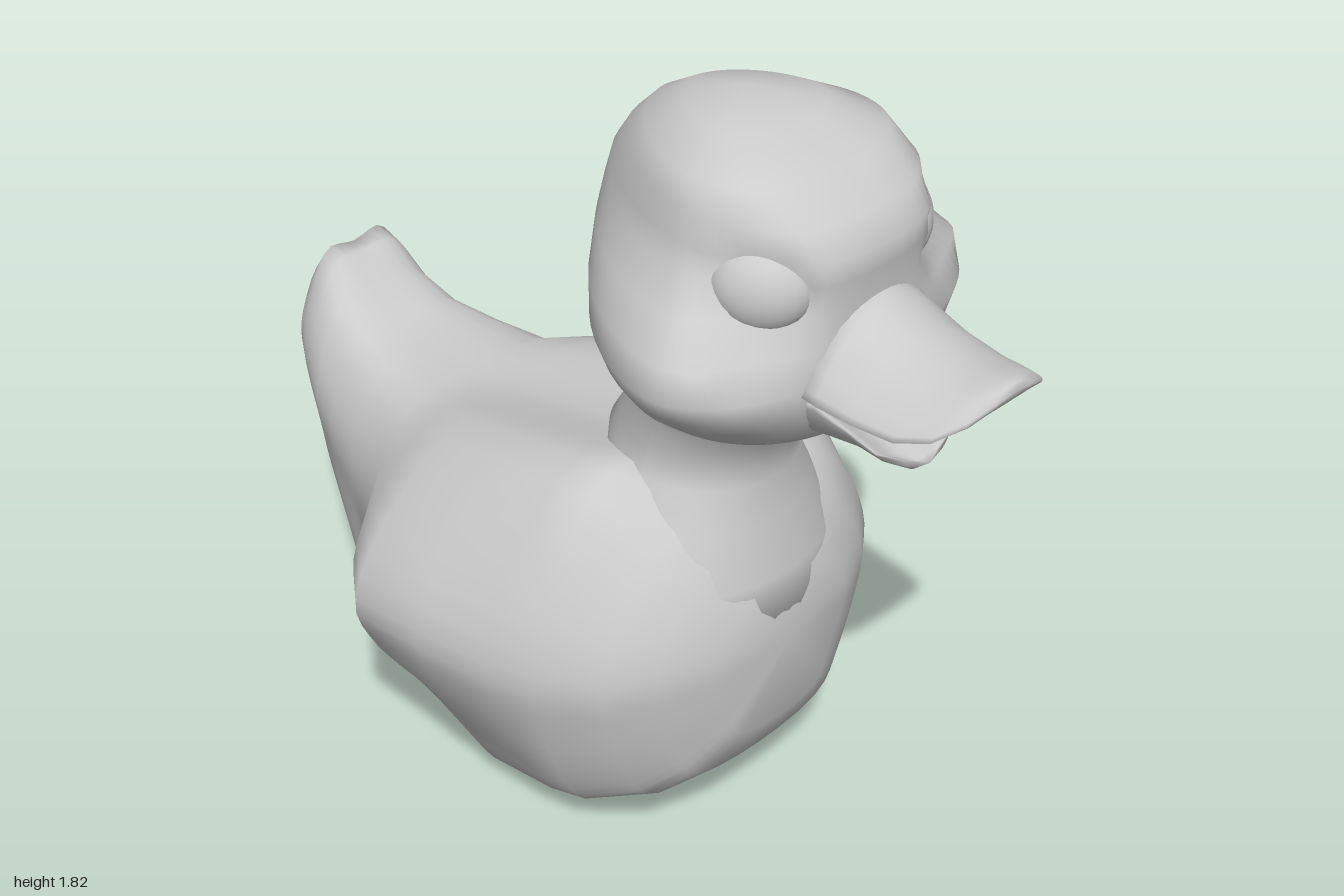
import * as THREE from 'three';

const V = (x, y, z) => new THREE.Vector3(x, y, z);
const material = new THREE.MeshStandardMaterial({ color: 0xcccccc, side: THREE.DoubleSide });

// Skin a list of closed rings and close both ends on a centre point
function loft(name, rings, startTip, endTip) {
  const n = rings[0].length, pos = [], index = [];
  rings.forEach(r => r.forEach(p => pos.push(p.x, p.y, p.z)));
  for (let i = 0; i < rings.length - 1; i++) {
    for (let j = 0; j < n; j++) {
      const a = i * n + j, b = i * n + (j + 1) % n;
      index.push(a, b, a + n, b, b + n, a + n);
    }
  }
  const s = rings.length * n, last = s - n;
  pos.push(...startTip, ...endTip);
  for (let j = 0; j < n; j++) {
    const k = (j + 1) % n;
    index.push(s, k, j, s + 1, last + j, last + k);
  }
  const g = new THREE.BufferGeometry();
  g.setAttribute('position', new THREE.Float32BufferAttribute(pos, 3));
  g.setIndex(index);
  g.computeVertexNormals();
  const mesh = new THREE.Mesh(g, material);
  mesh.name = name;
  return mesh;
}

// Smooth symmetric ring across x, from [y, z] points running top to bottom
function ringAtX(x, half, count) {
  const right = half.slice(1, -1).reverse().map(([y, z]) => V(x, y, -z));
  const pts = [...half.map(([y, z]) => V(x, y, z)), ...right];
  const curve = new THREE.CatmullRomCurve3(pts, true, 'centripetal');
  return Array.from({ length: count }, (_, i) => curve.getPoint(i / count));
}

function body() {
  // x, back y, shoulder y z, widest y z, belly y z, keel y
  const stations = [
    [-1.0, 0.81, 0.83, 0.07, 0.78, 0.11, 0.72, 0.07, 0.71],
    [-0.97, 0.90, 0.92, 0.08, 0.76, 0.15, 0.60, 0.10, 0.57],
    [-0.935, 0.965, 0.975, 0.08, 0.72, 0.17, 0.50, 0.12, 0.44],
    [-0.895, 0.96, 0.95, 0.09, 0.69, 0.19, 0.45, 0.14, 0.385],
    [-0.85, 0.90, 0.88, 0.11, 0.66, 0.21, 0.41, 0.17, 0.33],
    [-0.76, 0.84, 0.82, 0.14, 0.62, 0.24, 0.33, 0.21, 0.23],
    [-0.65, 0.82, 0.80, 0.17, 0.59, 0.28, 0.25, 0.26, 0.14],
    [-0.51, 0.81, 0.79, 0.20, 0.56, 0.35, 0.21, 0.32, 0.09],
    [-0.40, 0.82, 0.83, 0.23, 0.55, 0.49, 0.20, 0.36, 0.05],
    [-0.30, 0.83, 0.86, 0.25, 0.54, 0.57, 0.20, 0.38, 0.04],
    [-0.11, 0.87, 0.91, 0.27, 0.54, 0.555, 0.19, 0.41, 0.00],
    [0.08, 0.91, 0.955, 0.28, 0.54, 0.53, 0.20, 0.41, 0.035],
    [0.18, 0.93, 0.96, 0.28, 0.54, 0.49, 0.21, 0.40, 0.07],
    [0.32, 0.91, 0.85, 0.24, 0.55, 0.42, 0.27, 0.34, 0.145],
    [0.39, 0.85, 0.77, 0.20, 0.56, 0.33, 0.33, 0.26, 0.21],
    [0.445, 0.71, 0.68, 0.12, 0.56, 0.21, 0.41, 0.16, 0.32],
  ];
  const rings = stations.map(([x, top, sy, sz, wy, wz, by, bz, keel]) => ringAtX(x, [
    [top, 0], [sy, sz],
    [(sy + wy) / 2, sz + (wz - sz) * 0.72],           // rounded upper flank
    [wy, wz],
    [wy + (by - wy) * 0.42, wz + (bz - wz) * 0.27],   // lower edge of the folded wing
    [by, bz], [keel + (by - keel) * 0.3, bz * 0.8], [keel, 0],
  ], 48));
  // The tail end is hollowed in
  return loft('body', rings, [-0.95, 0.80, 0], [0.475, 0.56, 0]);
}

function headAndNeck() {
  // y, back x, widest x, front x, half width
  const levels = [
    [0.58, 0.10, 0.24, 0.468, 0.33],
    [0.72, 0.05, 0.22, 0.45, 0.31],
    [0.85, -0.01, 0.21, 0.42, 0.25],
    [0.95, -0.03, 0.21, 0.41, 0.195],
    [1.00, 0.00, 0.22, 0.415, 0.18],
    [1.09, 0.035, 0.25, 0.445, 0.185],
    [1.15, 0.06, 0.31, 0.52, 0.21],
    [1.19, 0.055, 0.37, 0.62, 0.28],
    [1.26, 0.03, 0.41, 0.655, 0.36],
    [1.31, 0.01, 0.44, 0.665, 0.405],
    [1.36, -0.005, 0.45, 0.67, 0.43],
    [1.43, -0.02, 0.45, 0.67, 0.415],
    [1.50, -0.035, 0.43, 0.665, 0.35],
    [1.57, -0.03, 0.42, 0.675, 0.295],
    [1.62, -0.015, 0.41, 0.678, 0.28],
    [1.68, 0.025, 0.40, 0.645, 0.265],
    [1.74, 0.085, 0.38, 0.565, 0.24],
    [1.79, 0.17, 0.35, 0.45, 0.14],
  ];
  const n = 56, socket = V(0.58, 1.52, 0.27);
  const rings = levels.map(([y, back, mid, front, w]) => Array.from({ length: n }, (_, j) => {
    const t = j / n * Math.PI * 2, c = -Math.cos(t), s = Math.sin(t);
    const e = 2 / (c < 0 ? 1.65 : y > 1.55 ? 2.4 : 2.1);   // pointed nape, fuller brow
    const u = Math.abs(c) ** e, v = Math.sign(s) * Math.abs(s) ** e;
    const p = V(c < 0 ? mid - u * (mid - back) : mid + u * (front - mid), y, v * w);
    // Press in the eye sockets
    const d = socket.distanceTo(V(p.x, p.y, Math.abs(p.z)));
    const dent = 0.04 * Math.max(0, 1 - (d / 0.15) ** 2);
    p.x -= dent * 0.7;
    p.z -= Math.sign(p.z) * dent;
    return p;
  }));
  return loft('headAndNeck', rings, [0.27, 0.58, 0], [0.30, 1.815, 0]);
}

function upperBill() {
  // x, top y, edge y, palate y, half width
  const stations = [
    [0.60, 1.55, 1.35, 1.36, 0.20],
    [0.68, 1.495, 1.34, 1.36, 0.20],
    [0.76, 1.455, 1.335, 1.36, 0.195],
    [0.86, 1.435, 1.335, 1.36, 0.185],
    [0.93, 1.44, 1.355, 1.37, 0.16],
    [0.975, 1.45, 1.39, 1.39, 0.115],
    [0.993, 1.445, 1.415, 1.41, 0.06],
  ];
  const rings = stations.map(([x, top, edge, under, w]) => ringAtX(x,
    [[top, 0], [top * 0.75 + edge * 0.25, w * 0.55], [edge, w], [under, w * 0.6], [under, 0]], 32));
  return loft('upperBill', rings, [0.60, 1.45, 0], [1.0, 1.43, 0]);
}

function lowerBill() {
  // x, tongue y, edge y, under y, half width
  const stations = [
    [0.54, 1.29, 1.335, 1.19, 0.22],
    [0.66, 1.27, 1.325, 1.195, 0.18],
    [0.72, 1.24, 1.28, 1.20, 0.15],
    [0.77, 1.205, 1.235, 1.185, 0.12],
    [0.80, 1.19, 1.21, 1.17, 0.07],
  ];
  const rings = stations.map(([x, top, edge, under, w]) => ringAtX(x,
    [[top, 0], [top, w * 0.5], [edge, w], [under * 0.75 + edge * 0.25, w * 0.7], [under, 0]], 32));
  return loft('lowerBill', rings, [0.54, 1.25, 0], [0.81, 1.175, 0]);
}

export function createModel() {
  const duck = new THREE.Group();
  duck.name = 'duck';
  duck.add(body(), headAndNeck(), upperBill(), lowerBill());

  // Eyes, set well into the face on each side
  for (const side of [-1, 1]) {
    const eye = new THREE.Mesh(new THREE.SphereGeometry(1, 24, 16), material);
    eye.name = side > 0 ? 'leftEye' : 'rightEye';
    eye.scale.set(0.105, 0.095, 0.075);
    eye.position.set(0.53, 1.545, side * 0.195);
    eye.rotation.y = side * 0.6;
    duck.add(eye);
  }
  return duck;
}
